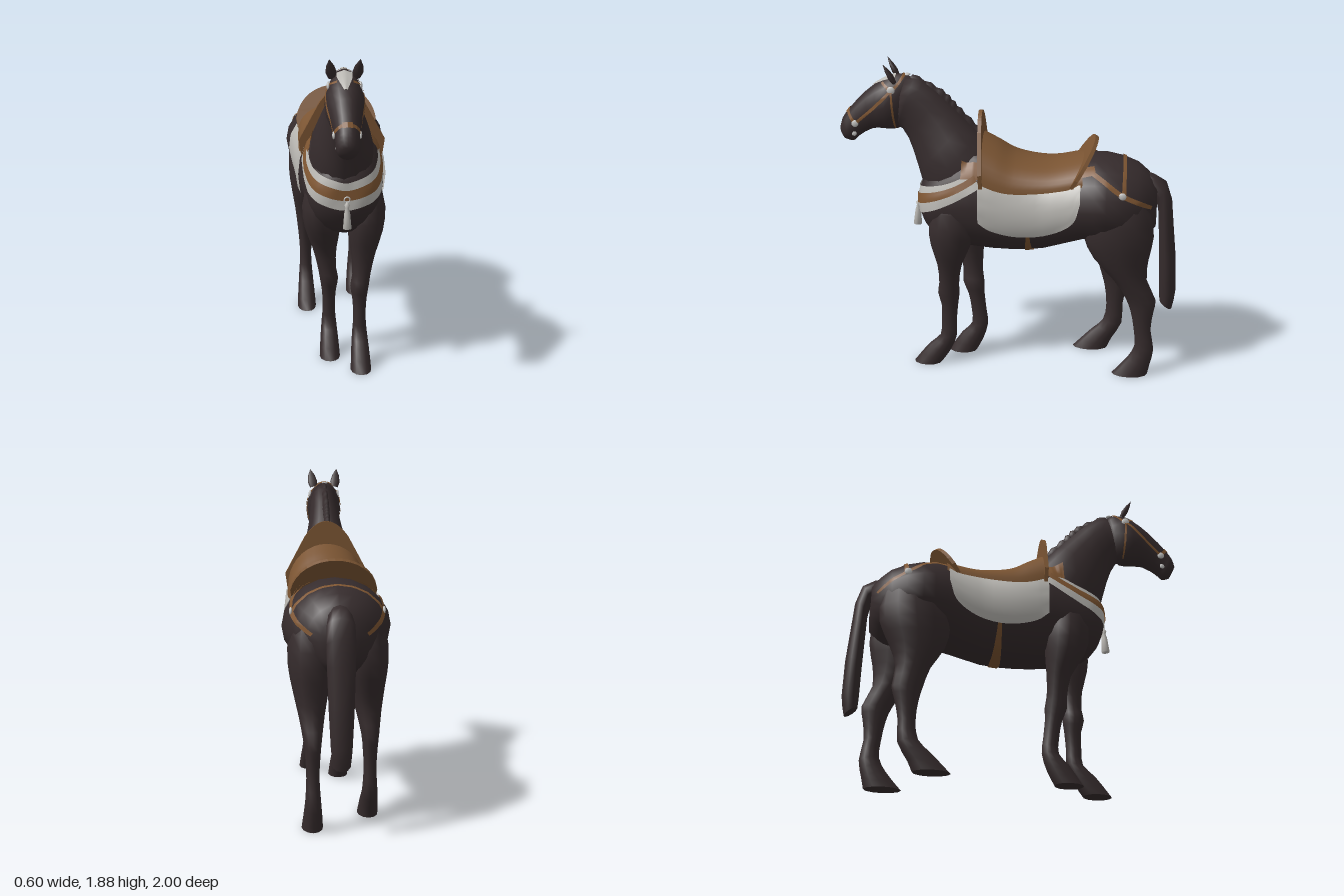
import * as THREE from 'three';

const V = (x, y, z) => new THREE.Vector3(x, y, z);
const mat = (name, color, side = THREE.FrontSide) => {
  const m = new THREE.MeshStandardMaterial({ color, side });
  m.name = name;
  return m;
};

export function createModel() {
  const model = new THREE.Group();
  const coat = mat('dark coat', 0x362c2d);
  const leather = mat('saddle leather', 0x7a5432, THREE.DoubleSide);
  const strapMat = mat('strap leather', 0x7f5632, THREE.DoubleSide);
  const cloth = mat('pale cloth', 0xbab8b3, THREE.DoubleSide);
  const silver = mat('silver', 0xc4c4c2);

  const add = (name, geo, material) => {
    const m = new THREE.Mesh(geo, material);
    m.name = name;
    model.add(m);
    return m;
  };

  // Smooth closed loft through elliptical sections: [z1, y1, z2, y2, halfWidth, xCentre]
  function loft(name, stations, n = 16, flatEnd = false) {
    const first = new THREE.CatmullRomCurve3(stations.map((s) => V(s[4], s[1], s[0])));
    const second = new THREE.CatmullRomCurve3(stations.map((s) => V(s[5] ?? 0, s[3], s[2])));
    const steps = (stations.length - 1) * 2, params = [];
    for (let r = 0; r <= steps; r++) params.push(r / steps);
    if (flatEnd) params.push(1); // a doubled last section keeps its rim sharp
    const pos = [], idx = [], rows = params.length;
    const sections = params.map((t) => [first.getPoint(t), second.getPoint(t)]);
    for (const [p, q] of sections)
      for (let i = 0; i < n; i++) {
        const a = (i / n) * Math.PI * 2, k = (1 + Math.cos(a)) / 2;
        pos.push(q.x + p.x * Math.sin(a), q.y + (p.y - q.y) * k, q.z + (p.z - q.z) * k);
      }
    for (const [p, q] of [sections[0], sections[rows - 1]]) pos.push(q.x, (p.y + q.y) / 2, (p.z + q.z) / 2);
    const start = rows * n, last = start - n;
    for (let i = 0; i < n; i++) {
      const j = (i + 1) % n;
      for (let r = 0; r < rows - 1; r++) {
        const a = r * n + i, b = r * n + j;
        idx.push(a, b, b + n, a, b + n, a + n);
      }
      idx.push(start, j, i, start + 1, last + i, last + j);
    }
    // turn the faces outward
    let volume = 0;
    const at = (k) => V().fromArray(pos, idx[k] * 3);
    for (let k = 0; k < idx.length; k += 3) volume += at(k).dot(at(k + 1).cross(at(k + 2)));
    if (volume < 0) idx.reverse();
    const g = new THREE.BufferGeometry();
    g.setAttribute('position', new THREE.Float32BufferAttribute(pos, 3));
    g.setIndex(idx);
    g.computeVertexNormals();
    return add(name, g, coat);
  }

  // Open surface from a rule f(u, v)
  function sheet(name, f, nu, nv, material) {
    const g = new THREE.PlaneGeometry(1, 1, nu, nv), q = g.attributes.position;
    for (let i = 0; i < q.count; i++) {
      const p = f(q.getX(i) + 0.5, q.getY(i) + 0.5);
      q.setXYZ(i, p.x, p.y, p.z);
    }
    g.computeVertexNormals();
    add(name, g, material);
  }

  // Torso sections: z, top, bottom, half width
  const torso = loft('torso', [
    [.528, 1.14, .98, .085], [.495, 1.22, .90, .155], [.41, 1.30, .81, .205], [.2, 1.42, .765, .238],
    [0, 1.35, .755, .25], [-.2, 1.30, .77, .252], [-.43, 1.35, .84, .28], [-.57, 1.355, .85, .302],
    [-.75, 1.305, .85, .235], [-.86, 1.2, .92, .11],
  ].map(([z, top, bottom, w]) => [z, top, z, bottom, w]), 20);
  const neck = loft('neck', [
    [.03, 1.33, .42, .85, .18], [.18, 1.47, .515, 1.14, .178], [.33, 1.625, .57, 1.345, .113],
    [.50, 1.775, .63, 1.48, .085], [.60, 1.80, .69, 1.5, .08]]);
  neck.position.x = -.01;
  const head = loft('head', [
    [.56, 1.78, .60, 1.52, .06], [.62, 1.81, .66, 1.475, .093], [.72, 1.785, .725, 1.475, .108],
    [.84, 1.70, .80, 1.475, .083], [.955, 1.575, .895, 1.42, .064], [.985, 1.53, .92, 1.395, .062],
    [1.0, 1.48, .965, 1.405, .042]]);
  head.position.x = -.02;
  loft('tail', [
    [-.76, 1.27, -.78, 1.18, .05], [-.915, 1.2, -.86, 1.08, .08], [-.965, .95, -.88, .92, .08],
    [-.998, .5, -.9, .5, .06], [-.98, .38, -.905, .43, .05]], 10, true);

  // Mane with stepped tufts along the crest
  const curve = (pts) => new THREE.CatmullRomCurve3(pts.map((p) => V(...p)));
  const crest = curve([[0, 1.80, .57], [0, 1.70, .39], [0, 1.605, .30], [0, 1.45, .15]]);
  const mane = [];
  for (let i = 0; i <= 16; i++) {
    const p = crest.getPoint(i / 16), lift = i % 2 ? .016 : .006;
    mane.push([p.z - lift * .6, p.y + lift, p.z + .03, p.y - .06, .022]);
  }
  loft('mane', mane, 8).position.x = -.013;

  // Leaf-shaped ears
  const leaf = [[.02, 0], [.03, .04], [.021, .085], [0, .13]].map((p) => new THREE.Vector2(...p));
  for (const s of [1, -1]) {
    const ear = add('ear', new THREE.LatheGeometry(leaf, 8), coat);
    ear.scale.z = .6;
    ear.position.set(-.02 + s * .066, 1.77, .66);
    ear.rotation.set(.5, 0, -s * .13);
  }

  // Legs share sections of [front y, back y, depth, half width]; each has its own z line for the stride
  const foreShape = [[1.12, 1.12, .17, .05], [.94, .94, .27, .105], [.8, .8, .235, .102], [.665, .665, .145, .07],
    [.54, .54, .12, .053], [.47, .47, .13, .054], [.39, .39, .1, .042], [.28, .28, .092, .036],
    [.185, .185, .1, .043], [.12, .08, .13, .052], [0, 0, .17, .06]];
  const hindShape = [[1.24, 1.24, .2, .05], [1.08, 1.08, .36, .115], [.91, .91, .41, .125], [.76, .76, .32, .1],
    [.63, .63, .2, .072], [.5, .5, .175, .05], [.42, .42, .135, .042], [.3, .3, .1, .036],
    [.19, .17, .115, .043], [.11, .06, .135, .052], [0, 0, .215, .059]];
  const leg = (name, shape, xTop, xFoot, zLine) => loft(name, shape.map(([yf, yb, depth, w], i) => {
    const x = xTop + (xFoot - xTop) * Math.min(1, i / 5);
    return [zLine[i] + depth / 2, yf, zLine[i] - depth / 2, yb, w, x];
  }), 12, true);
  const targets = [torso, neck, head,
    leg('left front leg', foreShape, .145, .09, [.32, .335, .345, .355, .36, .365, .36, .365, .37, .425, .498]),
    leg('right front leg', foreShape, -.145, -.08, [.3, .295, .28, .245, .235, .23, .215, .2, .195, .24, .3]),
    leg('left hind leg', hindShape, .15, .145,
      [-.62, -.64, -.645, -.665, -.72, -.79, -.8, -.805, -.82, -.79, -.738]),
    leg('right hind leg', hindShape, -.15, -.185,
      [-.62, -.62, -.605, -.59, -.61, -.64, -.64, -.635, -.625, -.555, -.49])];

  // Presses a guide point onto the body, along the line to centre c
  model.updateMatrixWorld(true);
  const ray = new THREE.Raycaster();
  function press(p, c, off) {
    const d = p.clone().sub(c).normalize();
    ray.set(c.clone().addScaledVector(d, .8), d.clone().negate());
    const hit = ray.intersectObjects(targets, false)[0];
    return (hit ? hit.point : p.clone()).addScaledVector(d, off);
  }
  const flip = (pts, cx = 0) => pts.map(([x, y, z]) => [2 * cx - x, y, z]);
  // Strap draped along guide points
  function strap(name, pts, centre, width, off = .007, material = strapMat, shift = 0, nu = 28) {
    const path = curve(pts);
    sheet(name, (u, v) => {
      const p = path.getPoint(u), c = centre(p);
      const side = path.getTangent(u).cross(p.clone().sub(c)).normalize();
      if (side.y < 0) side.negate();
      return press(p.addScaledVector(side, shift + (v - .5) * width), c, off);
    }, nu, 3, material);
  }
  const barrel = (p) => V(0, 1.05, p.z);
  // Flat stud, thin across x
  const stud = (name, p, r) => {
    const m = add(name, new THREE.SphereGeometry(r, 10, 8), silver);
    m.position.copy(p);
    m.scale.x = .4;
    return m;
  };

  // Saddle blanket, one panel on each side
  const hem = [[.17, 1.0], [.1, .95], [-.07, .915], [-.25, .945], [-.38, 1.03], [-.42, 1.15]];
  for (const s of [1, -1]) {
    const top = curve(hem.map(([z]) => [s * .3, 1.25, z])), bottom = curve(hem.map(([z, y]) => [s * .3, y, z]));
    sheet('blanket', (u, v) => {
      const p = bottom.getPoint(u).lerp(top.getPoint(u), v);
      return press(p, V(0, p.y, p.z), .014);
    }, 20, 8, cloth);
  }

  // Saddle seat, its lower edge dipping in the middle
  const ridge = curve([[0, 1.475, .165], [0, 1.425, .07], [0, 1.36, -.04], [0, 1.325, -.24], [0, 1.36, -.43]]);
  sheet('saddle seat', (u, v) => {
    const p = ridge.getPoint(u), a = v * Math.PI, base = 1.235 - .05 * Math.sin(Math.PI * u);
    return V((.23 + .012 * Math.sin(Math.PI * u)) * Math.cos(a), base + (p.y - base) * Math.sin(a), p.z);
  }, 18, 18, leather);

  // Pommel and cantle boards
  const board = (name, shape, y, z, tilt) => {
    const geo = new THREE.ExtrudeGeometry(shape, { depth: .022, bevelEnabled: false, curveSegments: 16 });
    const m = add(name, geo, leather);
    m.position.set(0, y, z);
    m.rotation.x = tilt;
  };
  const front = new THREE.Shape();
  front.moveTo(-.235, 0).lineTo(-.248, .09).lineTo(-.13, .31);
  front.quadraticCurveTo(0, .49, .13, .31).lineTo(.248, .09).lineTo(.235, 0);
  board('pommel', front, 1.205, .142, .045);
  const back = new THREE.Shape();
  back.moveTo(-.235, 0).lineTo(-.245, .06);
  back.bezierCurveTo(-.2, .34, .2, .34, .245, .06).lineTo(.235, 0);
  board('cantle', back, 1.22, -.375, -.54);

  // Breast collar: pale band with a leather strip on it
  const collar = [];
  for (let d = -95; d <= 95; d += 19) {
    const a = d * Math.PI / 180;
    collar.push([.35 * Math.sin(a), 1.063 + .185 * (Math.abs(d) / 90) ** 1.3, .2 + .35 * Math.cos(a)]);
  }
  const chest = (p) => V(0, p.y, .2);
  strap('breast collar', collar, chest, .165, .007, cloth, 0, 48);
  strap('breast strap', collar, chest, .06, .012, strapMat, .008, 48);

  // Tassel
  const ring = add('tassel ring', new THREE.TorusGeometry(.016, .004, 6, 14), silver);
  ring.position.set(.005, 1.05, .545);
  const fringe = [[0, 0], [.025, 0], [.017, .09], [.01, .12], [.016, .135], [0, .16]];
  const tassel = add('tassel', new THREE.LatheGeometry(fringe.map((p) => new THREE.Vector2(...p)), 10), cloth);
  tassel.position.set(.005, .885, .555);
  tassel.rotation.x = -.06;

  // Girth, widening under the belly
  sheet('girth', (u, v) => {
    const a = -.45 - 2.24 * u, z = -.12 + (v - .5) * (.064 - .09 * Math.abs(u - .5));
    return press(V(Math.cos(a), 1.05 + Math.sin(a), z), V(0, 1.05, z), .007);
  }, 28, 3, strapMat);

  // Rump harness, saddle tabs and bridle sides
  const skull = (p) => V(-.02, p.y, p.z);
  for (const s of [1, -1]) {
    const put = (pts) => (s > 0 ? pts : flip(pts));
    strap('rump strap', put([[.17, 1.32, -.46], [.25, 1.205, -.65], [.2, 1.11, -.83]]), barrel, .028);
    stud('rump stud', press(V(s * .25, 1.195, -.66), V(0, 1.05, -.66), .006), .023);
    strap('front tab', put([[.2, 1.32, .27], [.2, 1.31, .15]]), barrel, .1, .012);
    strap('rear tab', put([[.18, 1.30, -.36], [.165, 1.32, -.5]]), barrel, .07, .008);
    const face = (pts) => (s > 0 ? pts : flip(pts, -.02));
    strap('cheek strap', face([[.1, 1.73, .68], [.09, 1.62, .79], [.06, 1.52, .9]]), skull, .02, .005);
    strap('throat strap', face([[.1, 1.73, .68], [.1, 1.6, .672], [.07, 1.49, .665]]), skull, .014, .005);
    strap('brow strap', face([[.08, 1.73, .68], [.055, 1.765, .72], [.03, 1.79, .745]]), () => V(-.02, 1.63, .7), .016, .005);
    strap('nose strap', face([[.05, 1.52, .9], [.04, 1.56, .93], [.01, 1.59, .95]]), () => V(-.02, 1.5, .88), .02, .004);
    for (const [name, y, z, r] of [['cheek stud', 1.73, .68, .024], ['nose stud', 1.52, .9, .021], ['bit', 1.455, .91, .016]])
      stud(name, press(V(s, y, z), V(-.02, y, z), .002), r);
  }
  strap('crupper band', [[.25, 1.2, -.67], [.2, 1.35, -.67], [0, 1.42, -.67], [-.2, 1.35, -.67], [-.25, 1.2, -.67]],
    barrel, .026);
  strap('poll strap', [[.08, 1.73, .68], [.05, 1.79, .63], [-.02, 1.81, .61], [-.09, 1.79, .63], [-.12, 1.73, .68]],
    () => V(-.02, 1.64, .67), .018, .005);
  strap('nose patch', [[.01, 1.59, .95], [-.02, 1.595, .955], [-.05, 1.59, .95]], () => V(-.02, 1.5, .88), .034, .005);
  stud('poll stud', V(-.02, 1.805, .595), .018).scale.set(1, .4, 1);

  // Pale blaze on the forehead
  const blazeEdge = [[-.07, 1.83, .655], [-.066, 1.8, .71], [-.03, 1.74, .8]];
  const bl = curve(blazeEdge), br = curve(flip(blazeEdge, -.02));
  sheet('blaze', (u, v) => press(bl.getPoint(u).lerp(br.getPoint(u), v), V(-.02, 1.62, .7), .006), 8, 6, cloth);

  return model;
}
